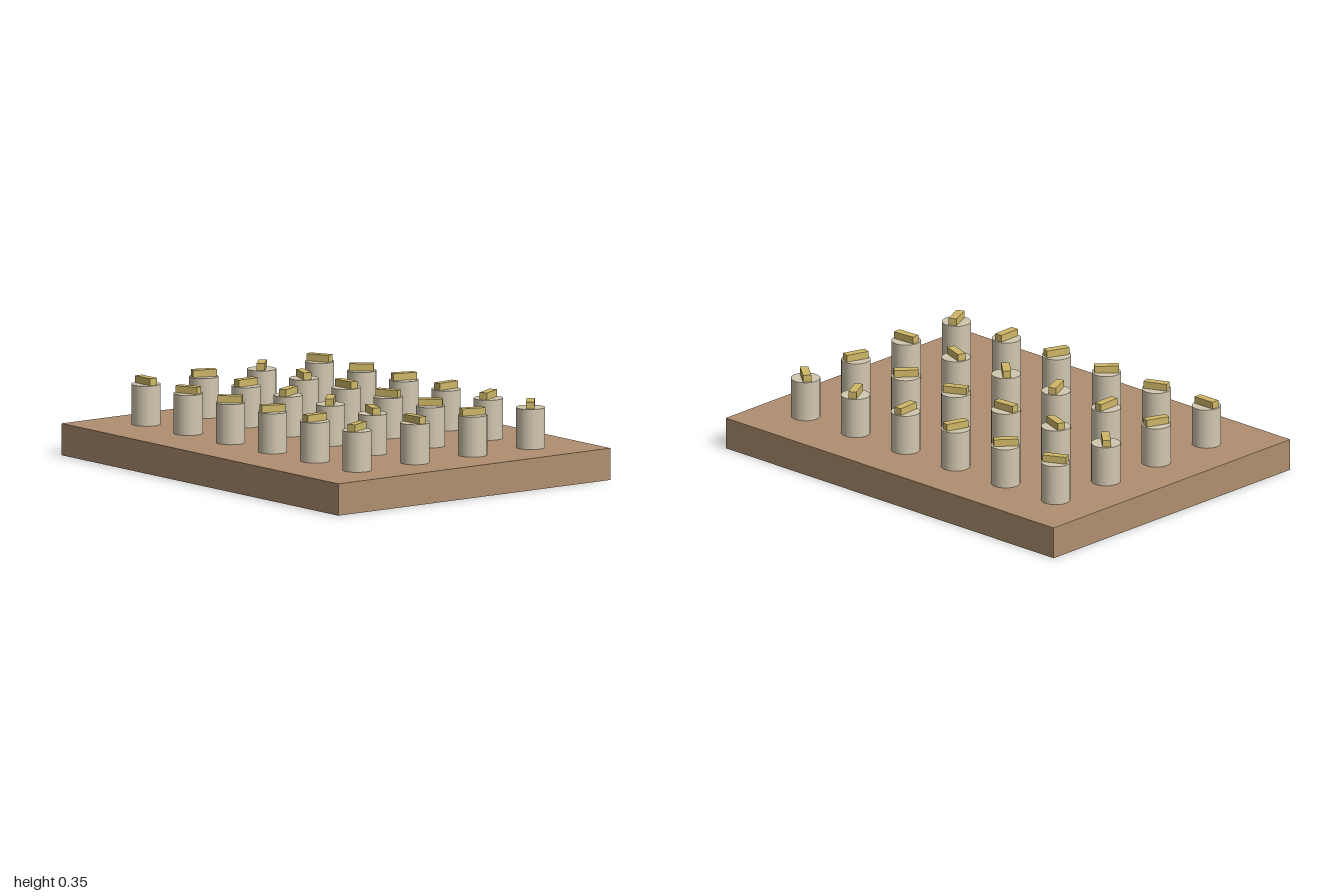
import * as THREE from 'three';

export function createModel() {
  const model = new THREE.Group();
  model.name = 'pegBoard';
  const wood = new THREE.MeshStandardMaterial({ color: 0xb08f70 });
  const ivory = new THREE.MeshStandardMaterial({ color: 0xd2c8b0 });
  const brass = new THREE.MeshStandardMaterial({ color: 0xd0b868 });

  const add = (parent, name, geometry, material, y) => {
    const mesh = new THREE.Mesh(geometry, material);
    mesh.name = name;
    mesh.position.y = y;
    parent.add(mesh);
    return mesh;
  };

  // Base board
  const boardTop = 0.143;
  add(model, 'board', new THREE.BoxGeometry(2, boardTop, 1.524), wood, boardTop / 2);

  // Knobs, each with a pointer bar turned a little further than the last
  const knobHeight = 0.18, barHeight = 0.032;
  const knobGeometry = new THREE.CylinderGeometry(0.065, 0.065, knobHeight, 32);
  const barGeometry = new THREE.BoxGeometry(0.109, barHeight, 0.037);
  for (let row = 0; row < 4; row++) {
    for (let col = 0; col < 6; col++) {
      const peg = new THREE.Group();
      peg.name = `peg_${row + 1}_${col + 1}`;
      peg.position.set(-0.762 + col * 0.305, boardTop, 0.474 - row * 0.324);
      add(peg, 'knob', knobGeometry, ivory, knobHeight / 2);
      const bar = add(peg, 'pointerBar', barGeometry, brass, knobHeight + barHeight / 2);
      bar.rotation.y = 0.4 * col + 1.2 * row;
      model.add(peg);
    }
  }
  return model;
}
